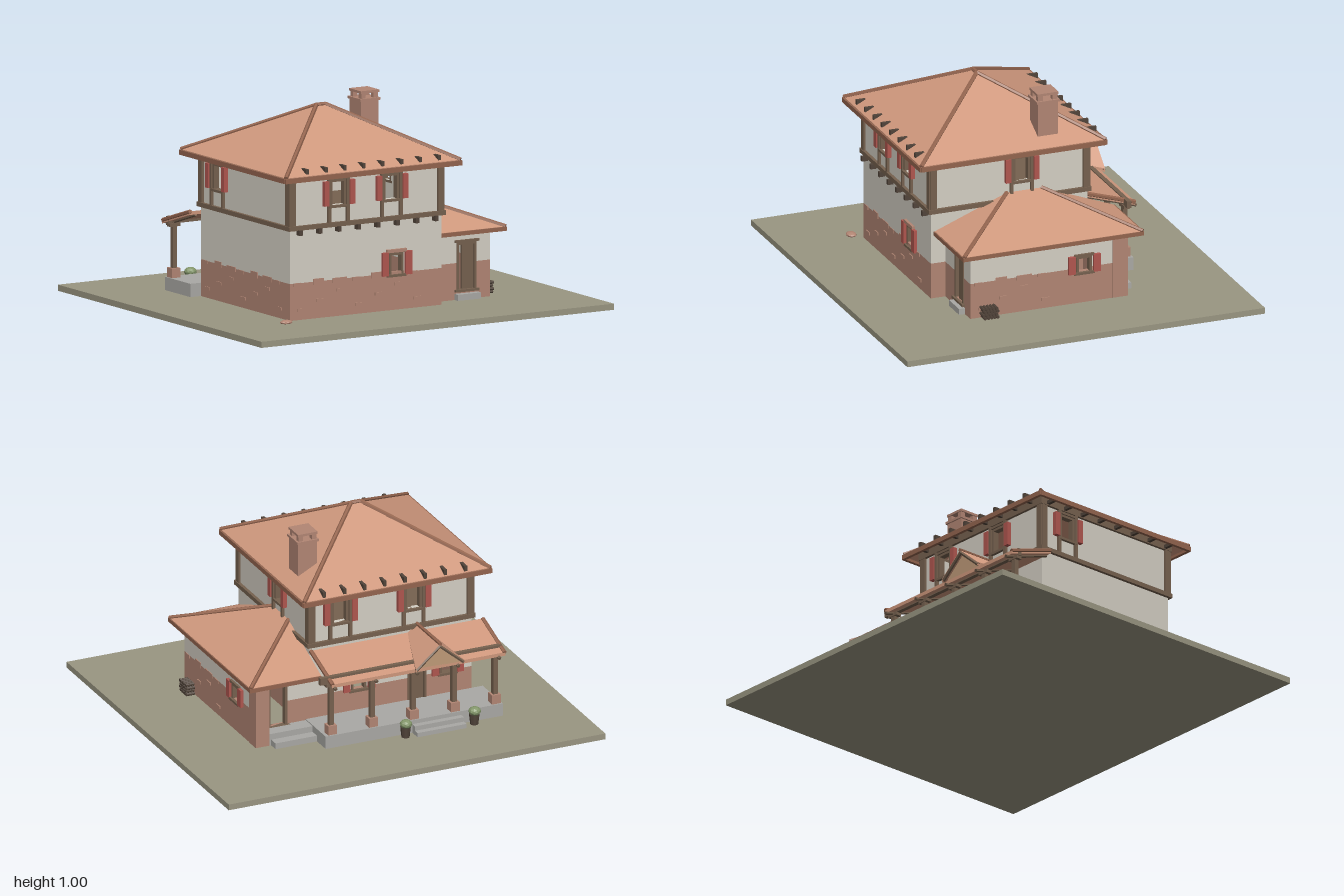
import * as THREE from 'three';
import { ConvexGeometry } from 'three/addons/geometries/ConvexGeometry.js';

const mat = (color) => new THREE.MeshStandardMaterial({ color, flatShading: true });
const M = {
  ground: mat(0x9a9682), plaster: mat(0xd4cfc4), brick: mat(0xb28674), roof: mat(0xcf987d),
  ridge: mat(0x94654f), timber: mat(0x76614f), dark: mat(0x51443a), red: mat(0xb0564f),
  stone: mat(0xaaa9a5), leaf: mat(0x83966a), tan: mat(0xbf9a78),
};

function add(parent, name, geo, m, x = 0, y = 0, z = 0) {
  const mesh = new THREE.Mesh(geo, m);
  mesh.name = name;
  mesh.position.set(x, y, z);
  parent.add(mesh);
  return mesh;
}

// Box given by its limits on each axis
function box(parent, name, m, x0, x1, y0, y1, z0, z1) {
  return add(parent, name, new THREE.BoxGeometry(x1 - x0, y1 - y0, z1 - z0), m,
    (x0 + x1) / 2, (y0 + y1) / 2, (z0 + z1) / 2);
}

// Roof slope: a flat polygon thickened downwards
function slab(parent, name, pts, t = 0.018, m = M.roof) {
  const v = pts.map((p) => new THREE.Vector3(...p));
  const low = v.map((p) => p.clone().setY(p.y - t));
  return add(parent, name, new ConvexGeometry([...v, ...low]), m);
}

function rod(parent, name, a, b, r = 0.011, m = M.ridge) {
  const p = new THREE.Vector3(...a), d = new THREE.Vector3(...b).sub(p);
  const mesh = add(parent, name, new THREE.CylinderGeometry(r, r, d.length(), 6), m);
  mesh.position.copy(p).addScaledVector(d, 0.5);
  mesh.quaternion.setFromUnitVectors(new THREE.Vector3(0, 1, 0), d.normalize());
}

// Group whose local +z points out of a wall
function side(parent, name, angle, x, z) {
  const g = new THREE.Group();
  g.name = name;
  g.rotation.y = angle;
  g.position.set(x, 0, z);
  parent.add(g);
  return g;
}

// Wall strip with rectangular openings [x0, x1, y0, y1]
function wall(g, name, m, a, b, y0, y1, openings = []) {
  const put = (x0, x1, lo, hi) => {
    if (x1 - x0 > 0.001 && hi - lo > 0.001) box(g, name, m, x0, x1, lo, hi, -0.025, 0);
  };
  let x = a;
  for (const [l, r, lo, hi] of [...openings].sort((p, q) => p[0] - q[0])) {
    if (hi <= y0 || lo >= y1) continue;
    put(x, l, y0, y1);
    put(l, r, y0, Math.max(lo, y0));
    put(l, r, Math.min(hi, y1), y1);
    x = r;
  }
  put(x, b, y0, y1);
}

// Frame, glazing bars and open shutters around an opening
function windowTrim(g, [l, r, lo, hi], shutter = 0.03) {
  const f = 0.012, c = (l + r) / 2;
  box(g, 'windowSill', M.timber, l - f, r + f, lo - f, lo, -0.025, 0.015);
  box(g, 'windowLintel', M.timber, l - f, r + f, hi, hi + f, -0.025, 0.012);
  box(g, 'windowJamb', M.timber, l, l + f, lo, hi, -0.025, 0.005);
  box(g, 'windowJamb', M.timber, r - f, r, lo, hi, -0.025, 0.005);
  box(g, 'windowHead', M.timber, l, r, hi - f, hi, -0.025, 0.005);
  if (shutter) for (const s of [-1, 1]) {
    const x = c + s * ((r - l) / 2 + 0.008 + shutter / 2);
    box(g, 'shutter', M.red, x - shutter / 2, x + shutter / 2, lo - 0.005, hi + 0.005, 0, 0.016);
  }
}

function upperWall(g, a, b, centres) {
  const holes = centres.map((c) => [c - 0.045, c + 0.045, 0.575, 0.7]);
  wall(g, 'upperWall', M.plaster, a, b, 0.48, 0.74, holes);
  holes.forEach((h, i) => {
    windowTrim(g, h, 0);
    for (const s of [-1, 1]) {
      const x = centres[i] + s * 0.053, e = centres[i] + s * 0.073;
      box(g, 'windowPost', M.timber, x - 0.008, x + 0.008, 0.49, 0.72, 0, 0.014);
      box(g, 'shutter', M.red, e - 0.014, e + 0.014, 0.575, 0.695, 0, 0.022);
    }
  });
  for (const x of [a + 0.01, b - 0.01]) box(g, 'cornerPost', M.timber, x - 0.017, x + 0.017, 0.48, 0.73, -0.02, 0.012);
  box(g, 'floorBeam', M.timber, a - 0.014, b + 0.014, 0.47, 0.492, -0.02, 0.016);
  box(g, 'wallPlate', M.timber, a - 0.014, b + 0.014, 0.715, 0.757, -0.02, 0.014);
}

function lowerWall(g, a, b, top, holes = [], trimmed = holes) {
  wall(g, 'brickBase', M.brick, a, b, 0.03, 0.21, holes);
  wall(g, 'plasterWall', M.plaster, a, b, 0.21, top, holes);
  trimmed.forEach((h) => windowTrim(g, h, 0.035));
}

// Ragged courses where the plaster has fallen from the brick
function ragged(g, a, b) {
  for (let i = 0, x = a + 0.02; x < b - 0.1; i++, x += 0.11) {
    const w = 0.04 + 0.02 * (i % 3), y = 0.212 + 0.006 * ((i * 2) % 3);
    box(g, 'exposedBrick', M.brick, x, x + w, 0.195, y, -0.01, 0.004);
    box(g, 'raisedBrick', M.brick, x + 0.02, x + 0.06, 0.07 + 0.04 * (i % 3), 0.085 + 0.04 * (i % 3), -0.01, 0.005);
  }
}

export function createModel() {
  const root = new THREE.Group();
  root.name = 'farmhouse';
  box(root, 'ground', M.ground, -1, 1, 0, 0.03, -0.93, 0.93);

  // Main block
  const front = side(root, 'mainFront', 0, 0, 0.515);
  const back = side(root, 'mainBack', Math.PI, 0, -0.3);
  const right = side(root, 'mainRight', Math.PI / 2, 0.28, 0);
  const left = side(root, 'mainLeft', -Math.PI / 2, -0.58, 0);
  upperWall(front, -0.58, 0.28, [-0.31, -0.01]);
  upperWall(back, -0.28, 0.58, [-0.12, 0.27]);
  upperWall(right, -0.515, 0.3, [-0.045]);
  upperWall(left, -0.3, 0.515, [-0.14]);
  const fw = [-0.02, 0.06, 0.205, 0.31];
  lowerWall(front, -0.58, 0.28, 0.48, [fw]);
  box(front, 'brickLintel', M.brick, -0.035, 0.075, 0.312, 0.328, 0, 0.014);
  const bw = [[-0.06, 0.02, 0.205, 0.31], [0.41, 0.49, 0.205, 0.31]], door = [0.24, 0.34, 0.09, 0.32];
  lowerWall(back, -0.28, 0.58, 0.48, [...bw, door], bw);
  windowTrim(back, door, 0);
  box(back, 'backDoor', M.timber, 0.24, 0.34, 0.09, 0.32, -0.022, -0.01);
  lowerWall(right, -0.515, 0.3, 0.48);
  lowerWall(left, -0.3, 0.515, 0.48);
  ragged(front, -0.58, 0.28);
  ragged(left, -0.3, 0.515);
  box(root, 'upperFloor', M.timber, -0.57, 0.27, 0.465, 0.48, -0.29, 0.505);
  for (let i = 0; i < 8; i++) {
    const x = -0.535 + i * 0.11;
    if (x < 0.27) box(root, 'joistEnd', M.dark, x - 0.009, x + 0.009, 0.447, 0.472, 0.5, 0.545);
  }

  // Main hipped roof
  const X0 = -0.65, X1 = 0.34, Z0 = -0.37, Z1 = 0.59, E = 0.745;
  const c = [[X0, E, Z1], [X1, E, Z1], [X1, E, Z0], [X0, E, Z0]];
  const ra = [-0.18, 0.99, 0.11], rb = [-0.13, 0.99, 0.11];
  slab(root, 'mainRoofFront', [c[0], c[1], rb, ra]);
  slab(root, 'mainRoofRight', [c[1], c[2], rb]);
  slab(root, 'mainRoofBack', [c[2], c[3], ra, rb]);
  slab(root, 'mainRoofLeft', [c[3], c[0], ra]);
  [[c[0], ra], [c[1], rb], [c[2], rb], [c[3], ra], [ra, rb]].forEach(([p, q]) => rod(root, 'ridgeTiles', p, q));
  for (const z of [Z0, Z1]) box(root, 'eaveBoard', M.ridge, X0 - 0.005, X1 + 0.005, 0.718, 0.742, z - 0.008, z + 0.008);
  for (const x of [X0, X1]) box(root, 'eaveBoard', M.ridge, x - 0.008, x + 0.008, 0.718, 0.742, Z0, Z1);
  for (let i = 0; i < 8; i++) {
    const x = -0.52 + i * 0.107;
    box(root, 'rafterTail', M.dark, x - 0.008, x + 0.008, 0.735, 0.775, 0.5, 0.578);
    box(root, 'rafterTail', M.dark, x - 0.008, x + 0.008, 0.735, 0.775, -0.365, -0.28);
    const z = -0.27 + i * 0.108;
    box(root, 'sideRafter', M.dark, X0 + 0.01, -0.56, 0.72, 0.737, z - 0.008, z + 0.008);
    box(root, 'sideRafter', M.dark, 0.26, X1 - 0.01, 0.72, 0.737, z - 0.008, z + 0.008);
  }

  // Chimney with an open-sided cap
  box(root, 'chimneyShaft', M.brick, 0.17, 0.27, 0.7, 0.95, -0.15, -0.045);
  box(root, 'chimneyBand', M.brick, 0.163, 0.277, 0.95, 0.962, -0.157, -0.038);
  for (const x of [0.185, 0.255]) for (const z of [-0.135, -0.06])
    box(root, 'chimneyPier', M.brick, x - 0.012, x + 0.012, 0.962, 0.99, z - 0.013, z + 0.013);
  box(root, 'chimneyCap', M.brick, 0.168, 0.272, 0.988, 1, -0.152, -0.043);

  // Side wing
  const wf = side(root, 'wingFront', 0, 0, 0.44);
  const wr = side(root, 'wingRight', Math.PI / 2, 0.6, 0);
  const wb = side(root, 'wingBack', Math.PI, 0, -0.3);
  const fd = [0.41, 0.52, 0.08, 0.31], bd = [-0.5, -0.4, 0.09, 0.31];
  lowerWall(wf, 0.28, 0.6, 0.38, [fd], []);
  windowTrim(wf, fd, 0);
  box(wf, 'frontDoor', M.timber, 0.445, 0.52, 0.08, 0.31, -0.02, -0.005);
  box(wf, 'doorStep', M.stone, 0.4, 0.53, 0.03, 0.06, 0, 0.03);
  lowerWall(wr, -0.44, 0.3, 0.38, [[0.11, 0.19, 0.19, 0.27]]);
  lowerWall(wb, -0.6, -0.28, 0.38, [bd], []);
  windowTrim(wb, bd, 0);
  ragged(wr, -0.44, 0.05);
  box(root, 'wingPier', M.brick, 0.53, 0.602, 0.03, 0.365, -0.38, -0.3);
  box(root, 'wingBeam', M.timber, 0.27, 0.6, 0.345, 0.37, -0.38, -0.355);
  const w = [[0.28, 0.375, 0.495], [0.655, 0.375, 0.495], [0.655, 0.375, -0.435], [0.28, 0.375, -0.435]];
  const wa = [0.28, 0.52, 0.12], wz = [0.28, 0.52, -0.06];
  slab(root, 'wingRoofFront', [w[0], w[1], wa]);
  slab(root, 'wingRoofRight', [w[1], w[2], wz, wa]);
  slab(root, 'wingRoofBack', [w[2], w[3], wz]);
  rod(root, 'wingRidge', w[1], wa);
  rod(root, 'wingRidge', w[2], wz);
  box(root, 'wingEave', M.ridge, 0.647, 0.66, 0.354, 0.374, -0.44, 0.5);
  for (const z of [-0.435, 0.495]) box(root, 'wingEave', M.ridge, 0.28, 0.655, 0.354, 0.374, z - 0.006, z + 0.006);

  // Back porch: floor, steps, posts and lean-to roof
  box(root, 'porchFloor', M.stone, -0.64, 0.3, 0.03, 0.095, -0.53, -0.3);
  box(root, 'porchFloorWing', M.stone, 0.28, 0.56, 0.03, 0.09, -0.38, -0.3);
  box(root, 'wingStep', M.stone, 0.3, 0.52, 0.03, 0.06, -0.43, -0.38);
  box(root, 'porchStepUpper', M.stone, -0.42, -0.16, 0.03, 0.075, -0.56, -0.53);
  box(root, 'porchStepLower', M.stone, -0.42, -0.16, 0.03, 0.052, -0.59, -0.56);
  for (let i = 0; i < 5; i++) {
    const x = 0.26 - i * 0.2175;
    box(root, 'postPedestal', M.brick, x - 0.023, x + 0.023, 0.095, 0.142, -0.523, -0.477);
    box(root, 'porchPost', M.timber, x - 0.012, x + 0.012, 0.142, 0.37, -0.512, -0.488);
    box(root, 'postCapital', M.timber, x - 0.03, x + 0.03, 0.345, 0.362, -0.515, -0.485);
    rod(root, 'porchRafter', [x, 0.432, -0.3], [x, 0.348, -0.56], 0.009, M.timber);
  }
  box(root, 'porchBeam', M.timber, -0.645, 0.32, 0.36, 0.396, -0.512, -0.49);
  slab(root, 'porchRoof', [[-0.645, 0.45, -0.3], [0.275, 0.45, -0.3], [0.275, 0.372, -0.55], [-0.645, 0.372, -0.55]]);
  for (const x of [-0.64, 0.272]) rod(root, 'porchVerge', [x, 0.448, -0.3], [x, 0.37, -0.55], 0.011);

  // Entrance gable on the porch roof
  const gx = -0.29;
  for (const s of [-1, 1]) {
    slab(root, 'gableRoof', [[gx, 0.49, -0.3], [gx, 0.49, -0.57], [gx + s * 0.13, 0.38, -0.57], [gx + s * 0.05, 0.4477, -0.3]]);
    rod(root, 'gableVerge', [gx, 0.478, -0.565], [gx + s * 0.125, 0.372, -0.565], 0.009, M.timber);
  }
  rod(root, 'gableRidge', [gx, 0.49, -0.3], [gx, 0.49, -0.572], 0.009);
  slab(root, 'gableInfill', [[gx - 0.11, 0.378, -0.55], [gx + 0.11, 0.378, -0.55], [gx, 0.472, -0.55],
    [gx - 0.11, 0.378, -0.54], [gx + 0.11, 0.378, -0.54], [gx, 0.472, -0.54]], 0.01, M.tan);

  // Potted plants beside the steps
  for (const x of [-0.475, -0.11]) {
    add(root, 'plantPot', new THREE.CylinderGeometry(0.026, 0.02, 0.055, 10), M.dark, x, 0.0575, -0.56);
    const bush = add(root, 'plantLeaves', new THREE.IcosahedronGeometry(0.031, 1), M.leaf, x, 0.1, -0.565);
    bush.scale.y = 0.75;
  }

  // Stacked firewood along the wing
  for (let r = 0; r < 4; r++) for (let i = 0; i < 5; i++) {
    const log = add(root, 'firewoodLog', new THREE.CylinderGeometry(0.008, 0.008, 0.045, 7), M.dark,
      0.628, 0.04 + r * 0.0155, 0.315 + i * 0.0165 + (r % 2) * 0.007);
    log.rotation.z = Math.PI / 2;
  }

  // Flat rock by the front corner
  const rock = add(root, 'rock', new THREE.IcosahedronGeometry(0.032, 1), M.brick, -0.63, 0.035, 0.56);
  rock.scale.set(1, 0.4, 0.8);
  return root;
}
